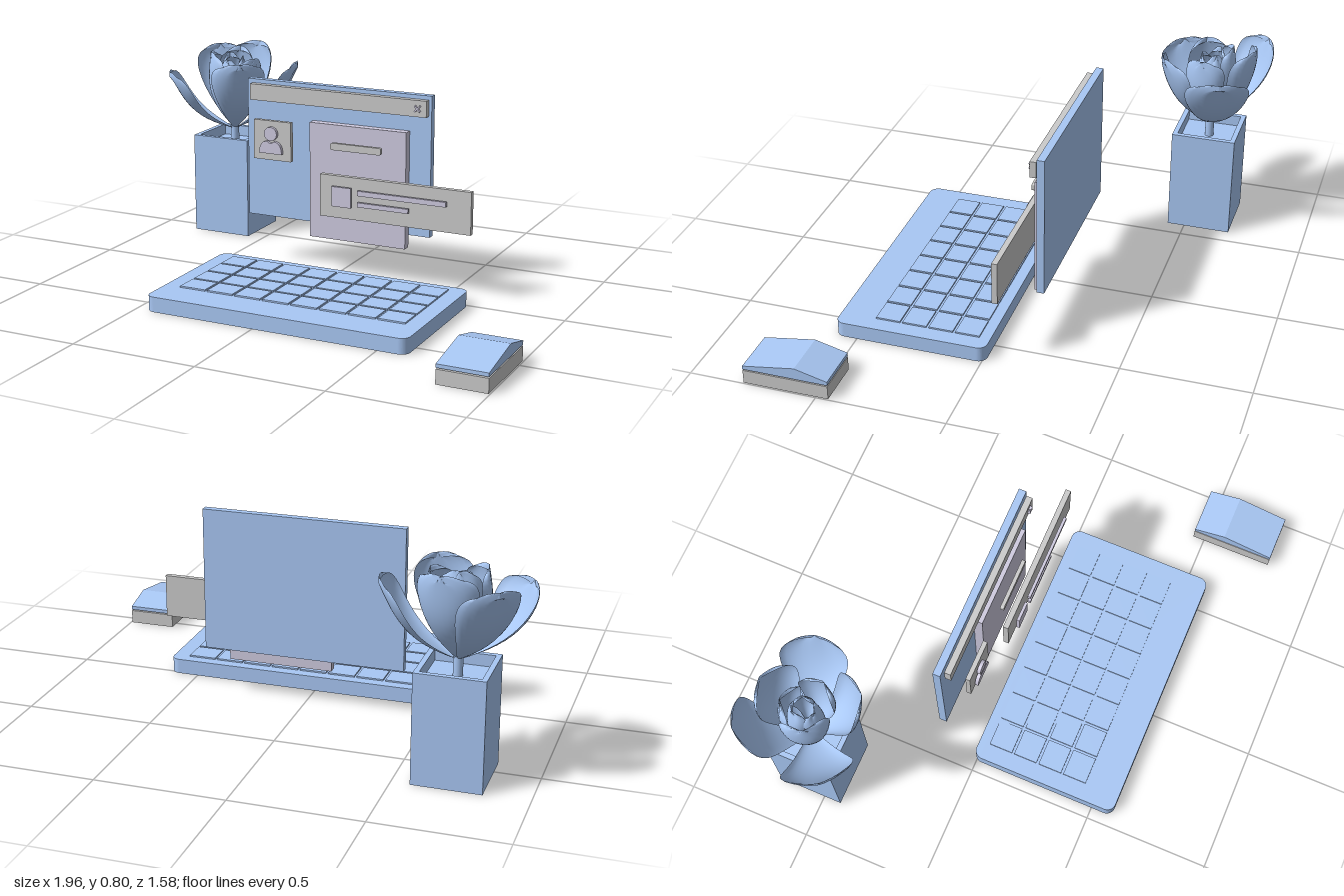
import * as THREE from 'three';

const mat = (color) => new THREE.MeshStandardMaterial({ color });
const blue = mat(0xa9c8f5), grey = mat(0xc2c1be), lilac = mat(0xcfcbe0);
const petalMat = mat(0xa9c8f5);
petalMat.side = THREE.DoubleSide;

function add(parent, name, geometry, material) {
  const mesh = new THREE.Mesh(geometry, material);
  mesh.name = name;
  parent.add(mesh);
  return mesh;
}

// box given by its minimum and maximum on each axis
function slab(parent, name, material, [x0, x1], [y0, y1], [z0, z1]) {
  const mesh = add(parent, name, new THREE.BoxGeometry(x1 - x0, y1 - y0, z1 - z0), material);
  mesh.position.set((x0 + x1) / 2, (y0 + y1) / 2, (z0 + z1) / 2);
  return mesh;
}

function roundedRect(w, h, r) {
  const s = new THREE.Shape();
  s.absarc(w / 2 - r, h / 2 - r, r, 0, Math.PI / 2);
  s.absarc(-w / 2 + r, h / 2 - r, r, Math.PI / 2, Math.PI);
  s.absarc(-w / 2 + r, -h / 2 + r, r, Math.PI, Math.PI * 1.5);
  s.absarc(w / 2 - r, -h / 2 + r, r, Math.PI * 1.5, Math.PI * 2);
  return s;
}

const extrude = (shape, depth) =>
  new THREE.ExtrudeGeometry(shape, { depth, bevelEnabled: false, curveSegments: 10 });

// cupped petal leaning along +x, rising from the origin
function petalGeometry(reach, height, width, cup) {
  const geo = new THREE.PlaneGeometry(1, 1, 14, 18);
  const pos = geo.attributes.position;
  const len = Math.hypot(reach, height);
  for (let i = 0; i < pos.count; i++) {
    const v = pos.getX(i) * 2;
    const u = Math.sin((pos.getY(i) + 0.5) * Math.PI / 2);
    const half = width * Math.pow(u, 0.85) * Math.sqrt(Math.max(0, 1 - Math.pow(u, 6)));
    const inward = cup * half * v * v - 0.05 * Math.sin(Math.PI * u);
    pos.setXYZ(i,
      reach * u - inward * height / len,
      height * u + inward * reach / len + 0.012 * Math.pow(u, 8) * Math.cos(v * 9),
      half * Math.sin(v * 1.35) / Math.sin(1.35));
  }
  geo.computeVertexNormals();
  return geo;
}

function makePlant() {
  const plant = new THREE.Group();
  plant.name = 'pottedFlower';
  plant.position.set(-0.7, 0, -0.56);

  // square pot with an open top
  const wall = new THREE.Shape();
  wall.moveTo(-0.13, -0.13).lineTo(0.13, -0.13).lineTo(0.13, 0.13).lineTo(-0.13, 0.13);
  const hole = new THREE.Path();
  hole.moveTo(-0.11, -0.11).lineTo(-0.11, 0.11).lineTo(0.11, 0.11).lineTo(0.11, -0.11);
  wall.holes.push(hole);
  add(plant, 'pot', extrude(wall, 0.425).rotateX(-Math.PI / 2), blue);
  slab(plant, 'potFilling', blue, [-0.112, 0.112], [0, 0.38], [-0.112, 0.112]);
  add(plant, 'stem', new THREE.CylinderGeometry(0.018, 0.018, 0.14, 16), blue).position.y = 0.42;

  // angle in degrees (x towards z), reach, height, half width, cup
  const petals = [
    [143, 0.28, 0.25, 0.19, 0.35], [228, 0.26, 0.32, 0.17, 0.4], [-16, 0.28, 0.29, 0.18, 0.35],
    [55, 0.22, 0.31, 0.16, 0.5], [280, 0.18, 0.35, 0.16, 0.6],
    [150, 0.1, 0.33, 0.13, 0.7], [15, 0.12, 0.31, 0.12, 0.7], [262, 0.08, 0.34, 0.11, 0.8],
    [95, 0.05, 0.3, 0.07, 0.9], [215, 0.04, 0.32, 0.07, 0.9], [335, 0.04, 0.31, 0.06, 0.9],
  ];
  for (const [angle, reach, height, width, cup] of petals) {
    const petal = add(plant, 'petal', petalGeometry(reach, height, width, cup), petalMat);
    petal.position.y = 0.44;
    petal.rotation.y = -angle * Math.PI / 180;
  }
  return plant;
}

function makeScreen() {
  const screen = new THREE.Group();
  screen.name = 'screen';
  slab(screen, 'backPanel', blue, [-0.405, 0.395], [0.2, 0.765], [-0.175, -0.145]);
  slab(screen, 'titleBar', grey, [-0.38, 0.385], [0.685, 0.75], [-0.14, -0.115]);
  for (const turn of [1, -1]) {
    const bar = add(screen, 'closeMark', new THREE.BoxGeometry(0.032, 0.006, 0.01), lilac);
    bar.position.set(0.35, 0.718, -0.11);
    bar.rotation.z = turn * Math.PI / 4;
  }
  slab(screen, 'pagePanel', lilac, [-0.11, 0.305], [0.15, 0.62], [-0.145, -0.11]);
  add(screen, 'pageHeading', extrude(roundedRect(0.215, 0.028, 0.006), 0.015), grey)
    .position.set(0.107, 0.542, -0.085);

  // portrait card
  slab(screen, 'portraitCard', grey, [-0.335, -0.17], [0.46, 0.62], [-0.08, -0.062]);
  add(screen, 'portraitHead', new THREE.CylinderGeometry(0.028, 0.028, 0.014, 28).rotateX(Math.PI / 2), lilac)
    .position.set(-0.253, 0.57, -0.052);
  const bust = new THREE.Shape();
  bust.moveTo(-0.05, 0).lineTo(0.05, 0);
  bust.bezierCurveTo(0.05, 0.035, 0.035, 0.05, 0.015, 0.05);
  bust.quadraticCurveTo(0, 0.035, -0.015, 0.05);
  bust.bezierCurveTo(-0.035, 0.05, -0.05, 0.035, -0.05, 0);
  add(screen, 'portraitShoulders', extrude(bust, 0.014), lilac).position.set(-0.253, 0.49, -0.059);

  // front card with a tile and two lines
  slab(screen, 'frontCard', grey, [-0.03, 0.605], [0.265, 0.435], [-0.062, -0.04]);
  slab(screen, 'cardTile', lilac, [0.03, 0.112], [0.316, 0.396], [-0.03, -0.018]);
  slab(screen, 'cardLine', lilac, [0.14, 0.51], [0.37, 0.39], [-0.03, -0.018]);
  slab(screen, 'cardLine', lilac, [0.14, 0.355], [0.325, 0.343], [-0.03, -0.018]);
  return screen;
}

function makeKeyboard() {
  const keyboard = new THREE.Group();
  keyboard.name = 'keyboard';
  const base = add(keyboard, 'keyboardBase',
    extrude(roundedRect(1.07, 0.6, 0.035), 0.06).rotateX(-Math.PI / 2), blue);
  base.position.set(0.08, 0, 0.287);
  const cols = 8, rows = 4, dx = 0.945 / cols, dz = 0.425 / rows;
  for (let c = 0; c < cols; c++) {
    for (let r = 0; r < rows; r++) {
      const x = -0.392 + c * dx, z = 0.025 + r * dz;
      slab(keyboard, 'key', blue, [x + 0.005, x + dx - 0.005], [0.055, 0.066], [z + 0.005, z + dz - 0.005]);
    }
  }
  return keyboard;
}

function makeMouse() {
  const mouse = new THREE.Group();
  mouse.name = 'mouse';
  slab(mouse, 'mouseBase', grey, [0.805, 0.995], [0, 0.055], [0.453, 0.787]);
  // ridged cover: side profile drawn with -z to the right
  const side = new THREE.Shape();
  side.moveTo(-0.787, 0.06).lineTo(-0.453, 0.06).lineTo(-0.453, 0.075);
  side.lineTo(-0.58, 0.107).lineTo(-0.787, 0.074);
  add(mouse, 'mouseCover', extrude(side, 0.19).rotateY(Math.PI / 2), blue).position.x = 0.805;
  return mouse;
}

export function createModel() {
  const model = new THREE.Group();
  model.name = 'deskSet';
  model.add(makePlant(), makeScreen(), makeKeyboard(), makeMouse());
  return model;
}
